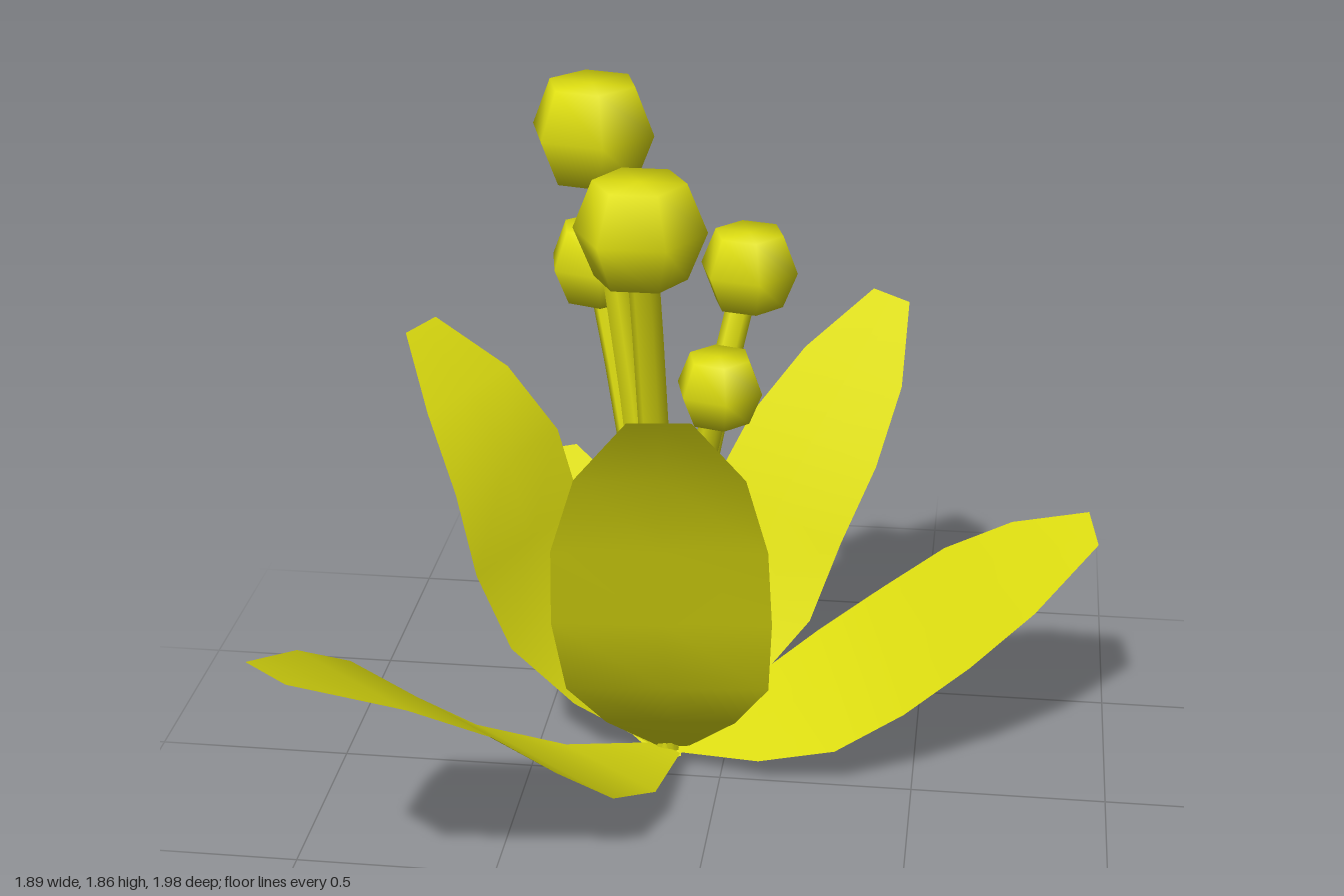
import * as THREE from 'three';

const yellow = new THREE.MeshStandardMaterial({ color: 0xdede10, side: THREE.DoubleSide });
yellow.name = 'yellow';

// Half-width of a leaf along its length, as a share of its widest point
const LEAF_OUTLINE = [0.15, 0.62, 0.94, 1, 0.96, 0.74, 0.27];

// Thin blade swept along a spine; roll tips its two edges up and down
function makeLeaf(spine, halfWidth, roll = 0) {
  const points = spine.map((p) => new THREE.Vector3(...p));
  const curve = new THREE.CatmullRomCurve3(points);
  const first = points[0];
  const last = points[points.length - 1];
  const side = new THREE.Vector3(last.z - first.z, 0, first.x - last.x).normalize();
  side.y = roll;
  side.normalize();

  const positions = [];
  const index = [];
  const rows = LEAF_OUTLINE.length;
  LEAF_OUTLINE.forEach((share, i) => {
    const centre = curve.getPointAt(i / (rows - 1));
    for (const s of [-1, 0, 1]) {
      const p = centre.clone().addScaledVector(side, s * share * halfWidth);
      positions.push(p.x, Math.max(p.y, 0), p.z);
    }
    if (i === rows - 1) return;
    for (const c of [0, 1]) {
      const a = i * 3 + c;
      index.push(a, a + 3, a + 1, a + 1, a + 3, a + 4);
    }
  });
  const geometry = new THREE.BufferGeometry();
  geometry.setAttribute('position', new THREE.Float32BufferAttribute(positions, 3));
  geometry.setIndex(index);
  geometry.computeVertexNormals();
  return new THREE.Mesh(geometry, yellow);
}

// Curved stalk rising from the crown to a bud centre
function makeStem(top, radius) {
  const base = new THREE.Vector3(-0.15, 0.04, -0.075);
  const bend = base.clone().lerp(top, 0.18);
  bend.y = top.y * 0.5;
  const curve = new THREE.QuadraticBezierCurve3(base, bend, top);
  return new THREE.Mesh(new THREE.TubeGeometry(curve, 5, radius, 6), yellow);
}

// Six-sided bud with a flat top and bottom
function makeBud(centre, radius, turn) {
  const h = radius * 0.74;
  const profile = [
    [0, -h], [radius * 0.7, -h], [radius, 0], [radius * 0.7, h], [0, h],
  ].map(([r, y]) => new THREE.Vector2(r, y));
  const bud = new THREE.Mesh(new THREE.LatheGeometry(profile, 6), yellow);
  bud.position.copy(centre);
  bud.rotation.y = turn;
  return bud;
}

export function createModel() {
  const model = new THREE.Group();
  model.name = 'plant';

  // Leaves: name, spine points, half-width, roll
  const leaves = [
    ['frontLeaf', [[-0.13, 0.05, -0.06], [-0.1, 0.41, 0.26], [-0.1, 0.73, 0.37],
      [-0.08, 1.08, 0.49], [-0.06, 1.3, 0.63]], 0.265],
    ['frontSideLeaf', [[-0.14, 0.05, -0.05], [-0.24, 0.09, 0.12], [-0.43, 0.25, 0.355],
      [-0.63, 0.545, 0.6], [-0.8, 0.745, 0.85], [-0.89, 0.8, 0.95]], 0.265],
    ['wideSideLeaf', [[-0.12, 0.05, -0.08], [0.06, 0.1, -0.12], [0.3, 0.2, -0.19],
      [0.585, 0.41, -0.24], [0.79, 0.56, -0.25], [0.935, 0.65, -0.27]], 0.255, 0.2],
    ['backTallLeaf', [[-0.13, 0.06, -0.09], [0.03, 0.36, -0.29], [0.115, 0.62, -0.39],
      [0.25, 0.88, -0.51], [0.38, 1.11, -0.67]], 0.245],
    ['backLowLeaf', [[-0.14, 0.0, -0.08], [-0.22, 0.07, -0.22], [-0.34, 0.17, -0.45],
      [-0.46, 0.34, -0.72], [-0.58, 0.48, -0.96]], 0.185],
    ['uprightSideLeaf', [[-0.17, 0.05, -0.09], [-0.4, 0.3, -0.15], [-0.53, 0.6, -0.19],
      [-0.6, 0.84, -0.23], [-0.71, 0.97, -0.3], [-0.83, 1.085, -0.38]], 0.24],
  ];
  for (const [name, spine, halfWidth, roll] of leaves) {
    const leaf = makeLeaf(spine, halfWidth, roll);
    leaf.name = name;
    model.add(leaf);
  }

  // Flower stalks: bud centre, bud radius, stem radius, bud turn
  const stalks = [
    [[-0.305, 1.745, -0.04], 0.154, 0.038, 0.3],
    [[-0.15, 1.613, 0.27], 0.155, 0.037, Math.PI / 6],
    [[-0.34, 1.325, -0.275], 0.128, 0.034, 0.2],
    [[0.042, 1.325, -0.27], 0.127, 0.034, 0.3],
    [[0.012, 1.16, 0.105], 0.109, 0.03, 0.25],
  ];
  stalks.forEach(([centre, budRadius, stemRadius, turn], i) => {
    const top = new THREE.Vector3(...centre);
    const stalk = new THREE.Group();
    stalk.name = `flowerStalk${i + 1}`;
    const stem = makeStem(top, stemRadius);
    stem.name = 'stem';
    const bud = makeBud(top, budRadius, turn);
    bud.name = 'bud';
    stalk.add(stem, bud);
    model.add(stalk);
  });

  return model;
}
